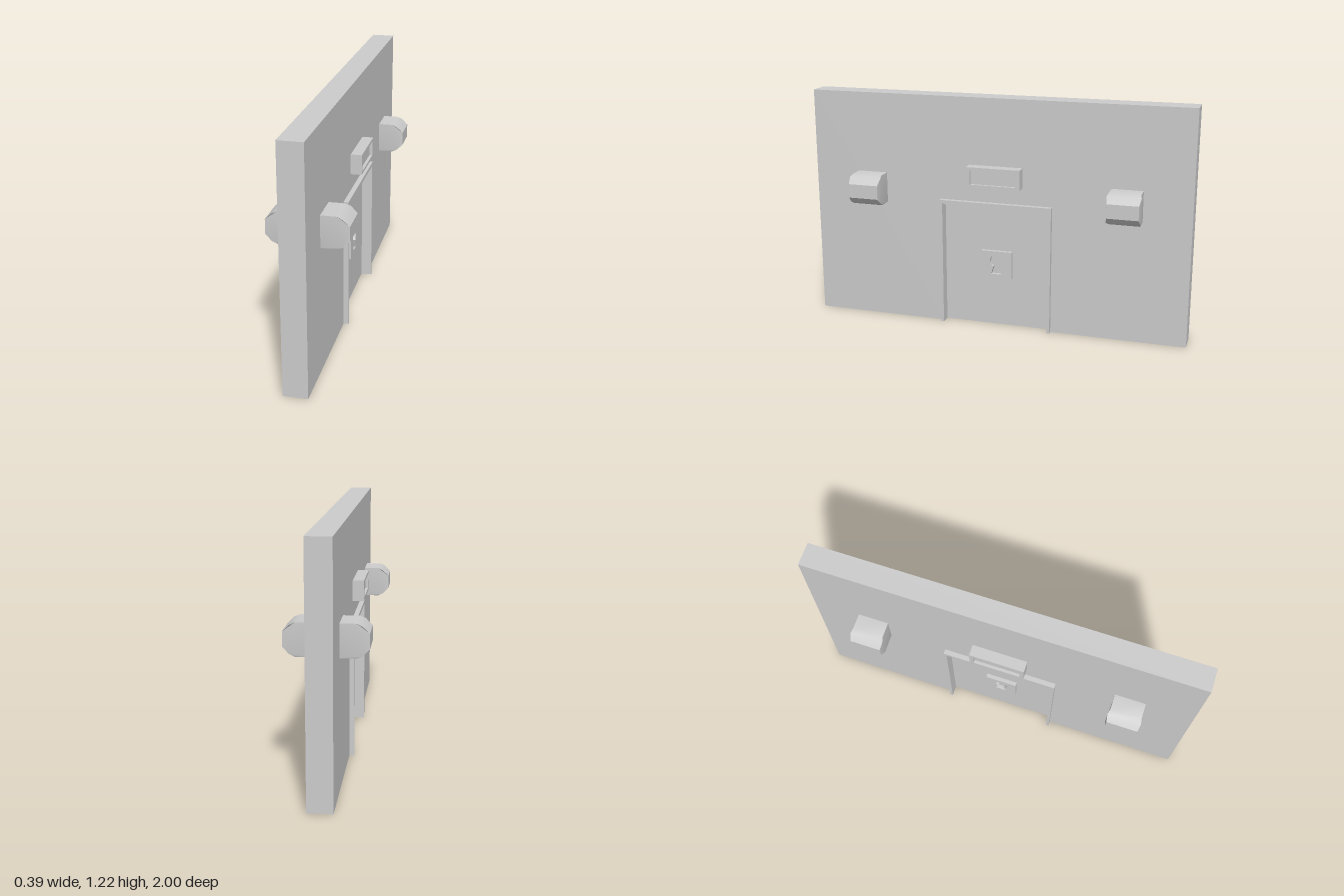
import * as THREE from 'three';
import { toCreasedNormals } from 'three/addons/utils/BufferGeometryUtils.js';

const material = new THREE.MeshStandardMaterial({ color: 0xcccccc });

function addMesh(parent, name, geometry) {
  const mesh = new THREE.Mesh(geometry, material);
  mesh.name = name;
  parent.add(mesh);
  return mesh;
}

function polygon(points) {
  return new THREE.Shape(points.map(([a, b]) => new THREE.Vector2(a, b)));
}

function rectangle(halfWidth, bottom, top) {
  return polygon([[-halfWidth, bottom], [halfWidth, bottom], [halfWidth, top], [-halfWidth, top]]);
}

// Outline drawn in the wall's plane, given thickness from x0 to x1
function slab(shape, x0, x1) {
  const g = new THREE.ExtrudeGeometry(shape, { depth: x1 - x0, bevelEnabled: false, curveSegments: 16 });
  return g.translate(0, 0, x0).rotateY(Math.PI / 2);
}

// Upside-down U with its feet on the ground
function arch(outer, inner, top, innerTop) {
  return polygon([
    [-outer, 0], [-inner, 0], [-inner, innerTop], [inner, innerTop],
    [inner, 0], [outer, 0], [outer, top], [-outer, top],
  ]);
}

// Rounded lamp housing: side profile swept along z, cheeks bulging slightly
function lampGeometry() {
  const profile = polygon([
    [0.05, 0.636], [0.138, 0.636], [0.164, 0.65], [0.196, 0.68],
    [0.196, 0.752], [0.164, 0.783], [0.138, 0.795], [0.05, 0.795],
  ]);
  const g = new THREE.ExtrudeGeometry(profile, { depth: 0.158, bevelEnabled: false });
  g.translate(0, 0, -0.079);
  const p = g.attributes.position;
  for (let i = 0; i < p.count; i++) {
    if (Math.abs(p.getX(i) - 0.164) < 0.005) p.setZ(i, p.getZ(i) * 1.08);
  }
  return toCreasedNormals(g, 0.75);
}

// Everything fixed to one face of the wall
function createFittings() {
  const side = new THREE.Group();

  // Sign box with a recessed panel
  const signRim = rectangle(0.142, 0.763, 0.867);
  signRim.holes.push(rectangle(0.12, 0.777, 0.852));
  addMesh(side, 'signRim', slab(signRim, 0.05, 0.117));
  addMesh(side, 'signPanel', slab(rectangle(0.125, 0.772, 0.857), 0.05, 0.102));

  // Lock plate pierced by a keyhole
  const plate = rectangle(0.083, 0.263, 0.41);
  const keyhole = new THREE.Path();
  keyhole.moveTo(-0.028, 0.285);
  keyhole.lineTo(0.028, 0.285);
  keyhole.lineTo(0.014, 0.33);
  keyhole.absarc(0, 0.356, 0.034, -1.1, Math.PI + 1.1, false);
  keyhole.lineTo(-0.028, 0.285);
  plate.holes.push(keyhole);
  addMesh(side, 'lockPlate', slab(plate, 0.03, 0.05));

  // Pair of wall lamps
  for (const z of [-0.677, 0.677]) {
    addMesh(side, 'wallLamp', lampGeometry()).position.z = z;
  }
  return side;
}

export function createModel() {
  const model = new THREE.Group();
  model.name = 'doorWall';

  // Wall with a doorway, the frame lining it and the recessed door
  addMesh(model, 'wall', slab(arch(1, 0.29, 1.215, 0.665), -0.06, 0.06));
  addMesh(model, 'doorFrame', slab(arch(0.298, 0.283, 0.675, 0.656), -0.085, 0.085));
  addMesh(model, 'door', slab(rectangle(0.288, 0, 0.66), -0.03, 0.03));

  // Same fittings on both faces
  ['leftFittings', 'rightFittings'].forEach((name, i) => {
    const side = createFittings();
    side.name = name;
    side.rotation.y = i * Math.PI;
    model.add(side);
  });
  return model;
}
